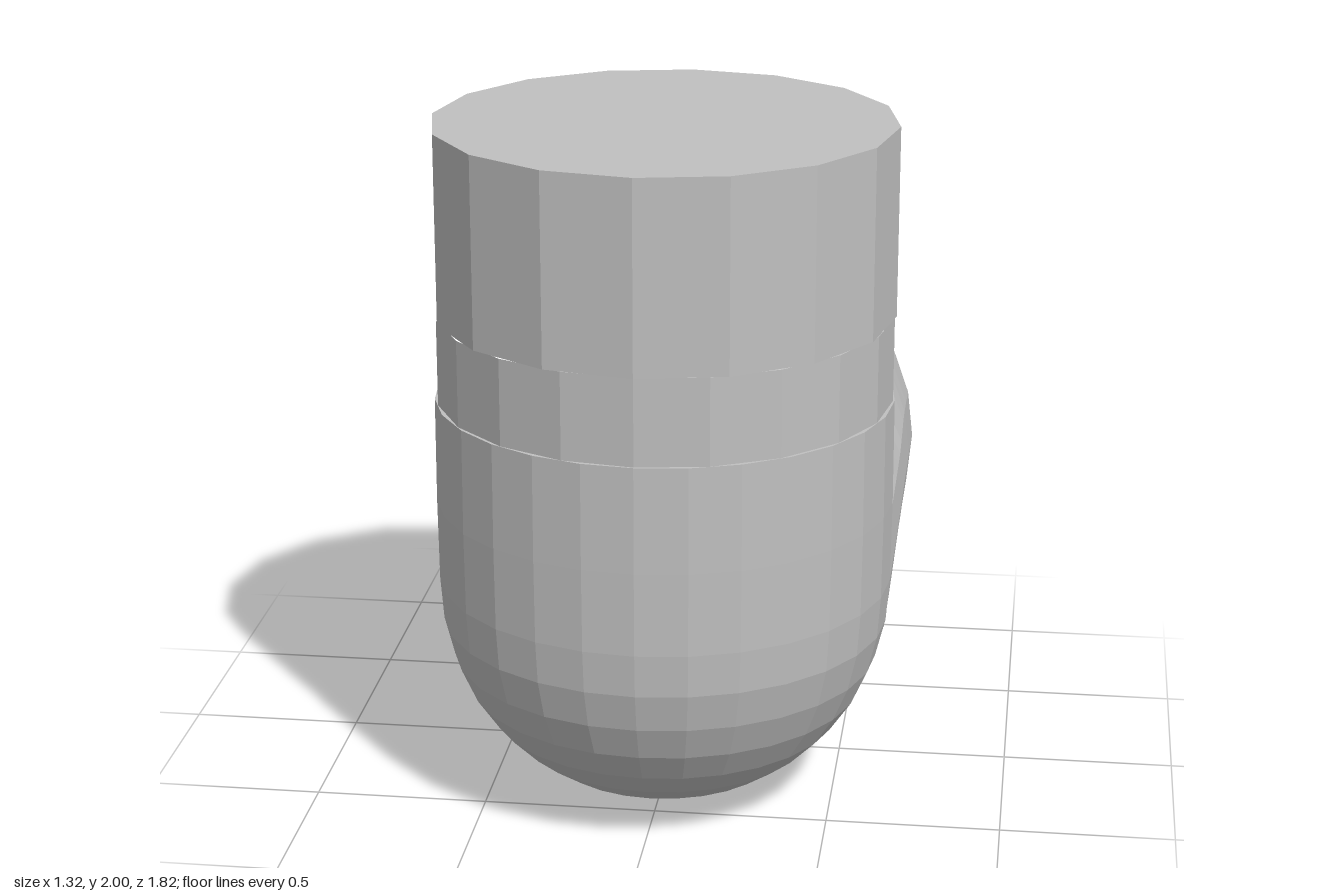
import * as THREE from 'three';

const R = 0.655;      // pipe radius
const AXIS_Z = 0.255; // axis of the upright pipe

// Superellipse coordinate: keeps the sign, fattens the curve for n > 2
const se = (v, n) => Math.sign(v) * Math.pow(Math.abs(v), 2 / n);

// Horizontal branch lofted from rings: z, centre height, lower and upper half heights, upper squareness
function branchGeometry() {
  const rings = [
    [0.25, 0.66, 0.66, 0.36, 2.6],
    [0.0, 0.665, 0.66, 0.36, 2.6],
    [-0.25, 0.68, 0.66, 0.37, 2.6],
    [-0.38, 0.69, 0.655, 0.37, 2.5],
    [-0.45, 0.695, 0.655, 0.38, 2.4],
    [-0.52, 0.70, 0.655, 0.435, 2.3],
    [-0.59, 0.70, 0.655, 0.53, 2.1],
    [-0.65, 0.705, 0.655, 0.61, 2],
    [-0.71, 0.705, 0.655, 0.65, 2],
    [-0.79, 0.705, 0.655, 0.665, 2],
    [-0.91, 0.705, 0.655, 0.655, 2],
  ];
  const n = 28, pos = [], idx = [];
  for (const [z, cy, low, high, sq] of rings) {
    for (let j = 0; j < n; j++) {
      const a = (j / n) * Math.PI * 2, s = Math.sin(a);
      const e = s > 0 ? sq : 2.1;
      pos.push(R * se(Math.cos(a), e), cy + (s > 0 ? high : low) * se(s, e), z);
    }
  }
  for (let i = 0; i < rings.length - 1; i++) {
    for (let j = 0; j < n; j++) {
      const k = (j + 1) % n;
      const p = i * n + j, q = i * n + k, r = p + n, t = q + n;
      idx.push(p, r, q, q, r, t);
    }
  }
  // flat rear end
  const base = (rings.length - 1) * n, centre = pos.length / 3;
  pos.push(0, 0.705, -0.91);
  for (let j = 0; j < n; j++) idx.push(centre, base + (j + 1) % n, base + j);
  const g = new THREE.BufferGeometry();
  g.setAttribute('position', new THREE.Float32BufferAttribute(pos, 3));
  g.setIndex(idx);
  g.computeVertexNormals();
  return g;
}

export function createModel() {
  const group = new THREE.Group();
  const grey = new THREE.MeshStandardMaterial({ color: 0xc0c0c0, flatShading: true });
  grey.name = 'plainGrey';

  const add = (name, geometry, y = 0, z = AXIS_Z) => {
    const mesh = new THREE.Mesh(geometry, grey);
    mesh.name = name;
    mesh.position.set(0, y, z);
    group.add(mesh);
  };

  // rounded elbow body, from the bottom up to the first seam
  const profile = [];
  for (let i = 0; i <= 9; i++) {
    const a = (i / 9) * Math.PI / 2;
    profile.push(new THREE.Vector2(R * se(Math.sin(a), 2.1), 0.66 - 0.66 * se(Math.cos(a), 2.1)));
  }
  profile[0].set(0, 0);
  profile.push(new THREE.Vector2(0.658, 0.9), new THREE.Vector2(0.657, 1.205), new THREE.Vector2(0.6, 1.205));
  add('elbowBody', new THREE.LatheGeometry(profile, 28));

  // slightly recessed band between the seams
  add('seamBand', new THREE.CylinderGeometry(0.652, 0.652, 0.25, 20, 1, true), 1.33);

  // faceted upper pipe with its flat top
  add('upperPipe', new THREE.CylinderGeometry(0.657, 0.657, 0.545, 16), 1.7275);

  // branch to the rear, dipping where it meets the upright pipe
  add('rearBranch', branchGeometry(), 0, 0);

  return group;
}
